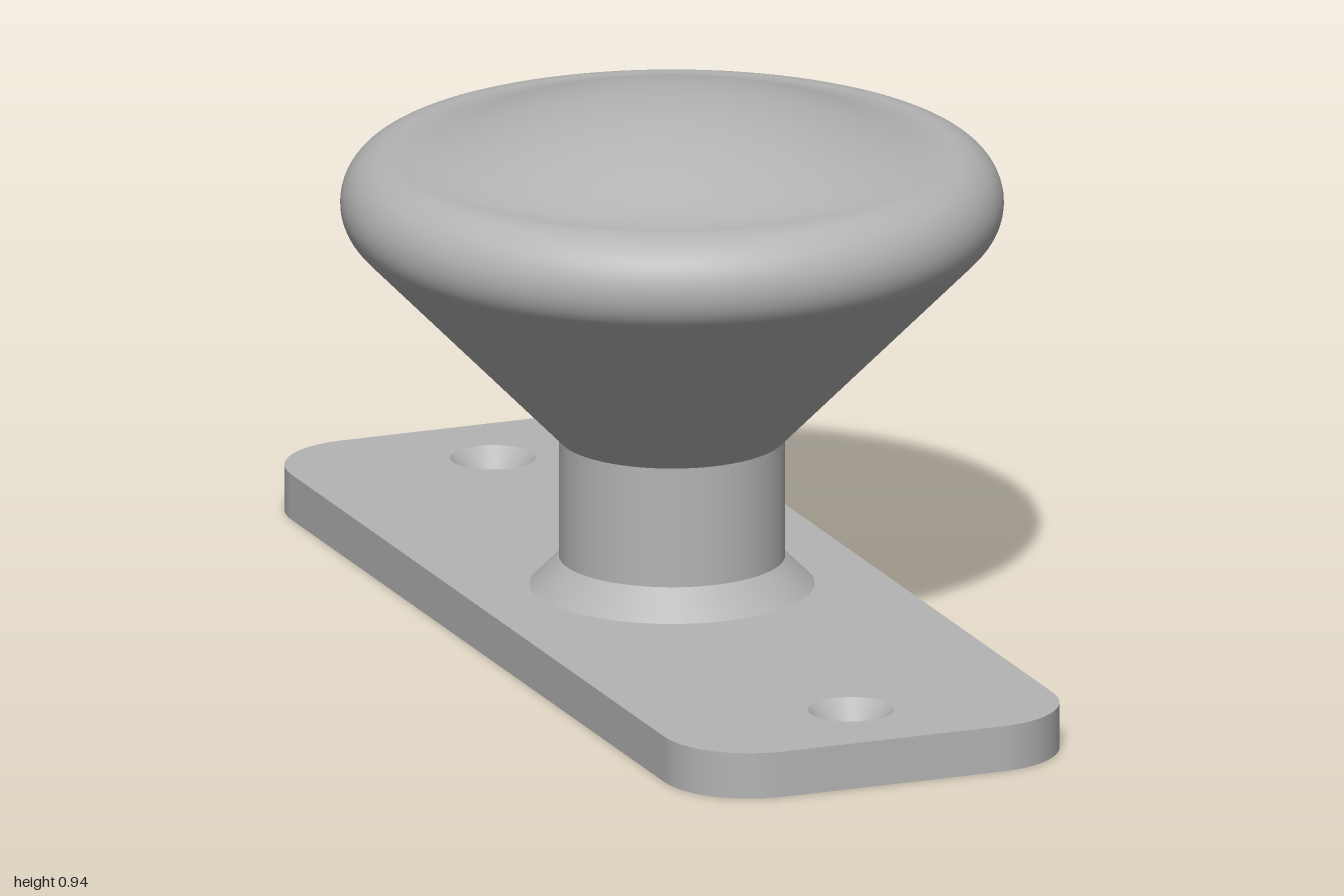
import * as THREE from 'three';

const metal = new THREE.MeshStandardMaterial({ color: 0xb4b4b4 });
metal.name = 'satin metal';

const PLATE = { x: 0.355, z: 1, h: 0.08, corner: 0.155 };
const HOLE = { z: 0.81, top: 0.073, drill: 0.04, depth: 0.035 };

function addMesh(parent, name, geometry) {
  const mesh = new THREE.Mesh(geometry, metal);
  mesh.name = name;
  parent.add(mesh);
  return mesh;
}

// Turned surface; each call is one smooth section, so joints stay sharp.
function turned(parent, name, points, segments = 96) {
  return addMesh(parent, name, new THREE.LatheGeometry(points.map(([r, y]) => new THREE.Vector2(r, y)), segments));
}

// Rounded rectangle outline, counter-clockwise, with its outward normals.
function plateOutline() {
  const { x, z, corner } = PLATE, steps = 14, out = [];
  [[1, 1], [-1, 1], [-1, -1], [1, -1]].forEach(([sx, sz], quarter) => {
    for (let i = 0; i <= steps; i++) {
      const a = (quarter + i / steps) * Math.PI / 2;
      const n = new THREE.Vector2(Math.cos(a), Math.sin(a));
      const p = new THREE.Vector2(sx * (x - corner), sz * (z - corner)).addScaledVector(n, corner);
      out.push({ p, n });
    }
  });
  return out;
}

function plateFace(outline, holeRadius) {
  const shape = new THREE.Shape(outline.map((o) => o.p));
  for (const s of [1, -1]) {
    shape.holes.push(new THREE.Path().absarc(0, s * HOLE.z, holeRadius, 0, Math.PI * 2, true));
  }
  return new THREE.ShapeGeometry(shape, 24);
}

function plateEdge(outline) {
  const pos = [], nor = [], index = [], count = outline.length;
  outline.forEach(({ p, n }, i) => {
    for (const y of [0, PLATE.h]) {
      pos.push(p.x, y, -p.y);
      nor.push(n.x, 0, -n.y);
    }
    const a = 2 * i, b = 2 * ((i + 1) % count);
    index.push(a, b, b + 1, a, b + 1, a + 1);
  });
  const g = new THREE.BufferGeometry();
  g.setAttribute('position', new THREE.Float32BufferAttribute(pos, 3));
  g.setAttribute('normal', new THREE.Float32BufferAttribute(nor, 3));
  g.setIndex(index);
  return g;
}

function createPlate() {
  const plate = new THREE.Group();
  plate.name = 'mounting plate';
  const outline = plateOutline();
  addMesh(plate, 'plate top', plateFace(outline, HOLE.top).rotateX(-Math.PI / 2).translate(0, PLATE.h, 0));
  addMesh(plate, 'plate underside', plateFace(outline, HOLE.drill).rotateX(Math.PI / 2));
  addMesh(plate, 'plate edge', plateEdge(outline));

  // Countersunk screw holes
  const seat = PLATE.h - HOLE.depth;
  for (const s of [1, -1]) {
    turned(plate, 'countersink', [[HOLE.top, PLATE.h], [HOLE.drill, seat]], 48).position.z = s * HOLE.z;
    turned(plate, 'screw hole', [[HOLE.drill, seat], [HOLE.drill, 0]], 48).position.z = s * HOLE.z;
  }
  return plate;
}

function createKnob() {
  const knob = new THREE.Group();
  knob.name = 'knob';
  turned(knob, 'collar', [[0.242, 0.08], [0.192, 0.13]]);
  turned(knob, 'neck', [[0.192, 0.13], [0.192, 0.34]]);

  // Flared body, rounded rim and domed face in one smooth profile
  const profile = [[0.192, 0.34], [0.53, 0.684]];
  const rim = { r: 0.473, y: 0.755, radius: 0.09 };
  for (let i = 0; i <= 24; i++) {
    const a = -Math.PI / 4 + (i / 24) * Math.PI * 0.75;
    profile.push([rim.r + rim.radius * Math.cos(a), rim.y + rim.radius * Math.sin(a)]);
  }
  const dome = new THREE.CubicBezierCurve(
    new THREE.Vector2(0.473, 0.845), new THREE.Vector2(0.38, 0.845),
    new THREE.Vector2(0.24, 0.943), new THREE.Vector2(0, 0.943));
  dome.getPoints(28).slice(1).forEach((p) => profile.push([Math.max(p.x, 0), p.y]));
  turned(knob, 'knob head', profile, 128);
  return knob;
}

export function createModel() {
  const model = new THREE.Group();
  model.name = 'door knob';
  model.add(createPlate(), createKnob());
  return model;
}
